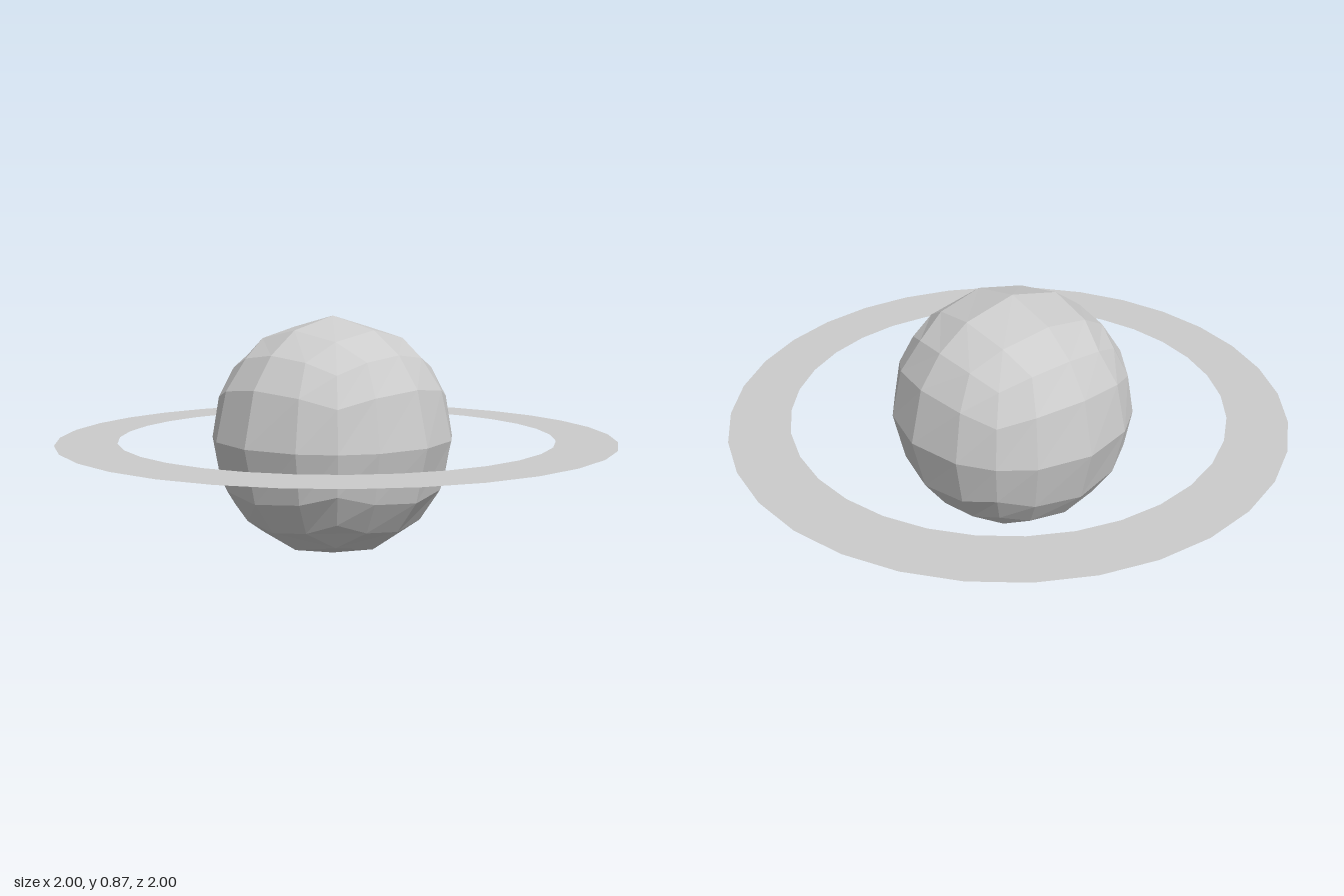
import * as THREE from 'three';

const RADIUS = 0.437;

// Cube with 4 x 4 faces per side, every corner pushed out onto a sphere
function cubeSphere(radius, segments) {
  const geometry = new THREE.BoxGeometry(2, 2, 2, segments, segments, segments);
  const position = geometry.attributes.position;
  const v = new THREE.Vector3();
  for (let i = 0; i < position.count; i++) {
    v.fromBufferAttribute(position, i).setLength(radius);
    position.setXYZ(i, v.x, v.y, v.z);
  }
  geometry.computeVertexNormals();
  return geometry;
}

export function createModel() {
  const model = new THREE.Group();
  model.name = 'ringedPlanet';

  // Faceted planet, a touch off the ring's centre
  const planet = new THREE.Mesh(
    cubeSphere(RADIUS, 4),
    new THREE.MeshStandardMaterial({ color: 0xcccccc, flatShading: true })
  );
  planet.name = 'planet';
  planet.position.set(-0.01, RADIUS, -0.01);
  model.add(planet);

  // Flat ring around the equator
  const ring = new THREE.Mesh(
    new THREE.RingGeometry(0.785, 1, 32).rotateX(-Math.PI / 2),
    new THREE.MeshStandardMaterial({ color: 0xcccccc, flatShading: true, side: THREE.DoubleSide })
  );
  ring.name = 'ring';
  ring.position.y = RADIUS;
  model.add(ring);

  return model;
}
